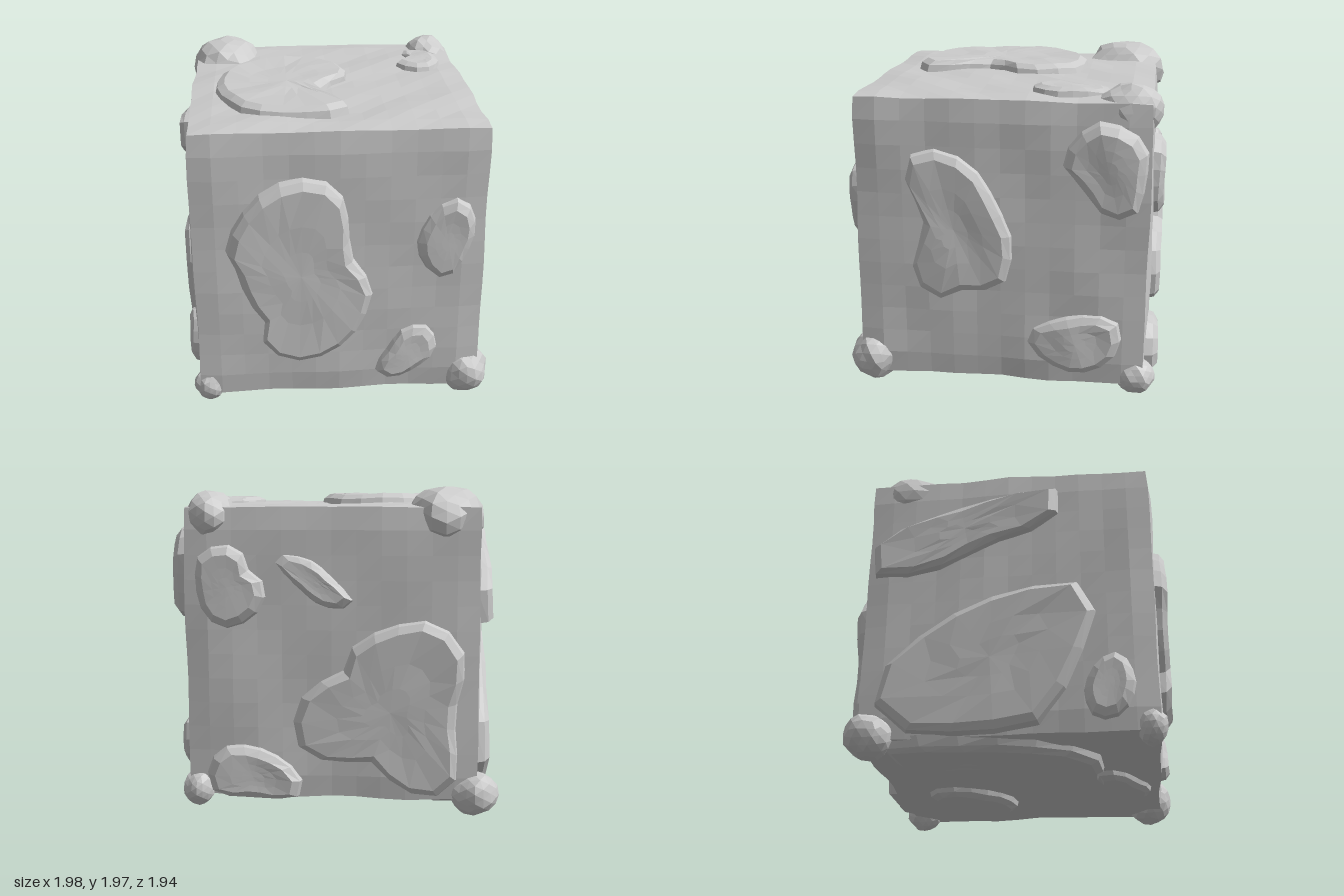
import * as THREE from 'three';
import { mergeVertices } from 'three/addons/utils/BufferGeometryUtils.js';

const stone = new THREE.MeshStandardMaterial({ color: 0xcccccc, flatShading: true });

// Smooth position-based unevenness, so shared edges stay closed
const bump = (x, y, z) =>
  Math.sin(7.1 * x + 3.3 * y + 1.7) * Math.sin(5.3 * y - 6.1 * z + 0.6) * 0.6 +
  Math.sin(13 * z + 9 * x - 4 * y) * 0.4;

// Each side of the cube: u axis, v axis, outward normal, distance along the normal
const V = (x, y, z) => new THREE.Vector3(x, y, z);
const sides = {
  front: [V(1, 0, 0), V(0, 1, 0), V(0, 0, 1), 0.885],
  back: [V(-1, 0, 0), V(0, 1, 0), V(0, 0, -1), 0.895],
  right: [V(0, 0, -1), V(0, 1, 0), V(1, 0, 0), 0.91],
  left: [V(0, 0, 1), V(0, 1, 0), V(-1, 0, 0), 0.87],
  top: [V(1, 0, 0), V(0, 0, -1), V(0, 1, 0), 1.88],
  bottom: [V(1, 0, 0), V(0, 0, 1), V(0, -1, 0), -0.1],
};

// Cube with softly chamfered edges and an uneven surface
function makeBody() {
  const half = 0.89, r = 0.045;
  let g = new THREE.BoxGeometry(2 * half, 2 * half, 2 * half, 12, 12, 12);
  g.deleteAttribute('uv');
  g.deleteAttribute('normal');
  g = mergeVertices(g);
  const p = g.attributes.position, v = V(0, 0, 0), inner = V(0, 0, 0), lim = half - r;
  for (let i = 0; i < p.count; i++) {
    v.fromBufferAttribute(p, i);
    inner.copy(v).clampScalar(-lim, lim);
    const n = v.clone().sub(inner).normalize();
    v.copy(inner).addScaledVector(n, r + 0.012 * bump(v.x, v.y, v.z));
    p.setXYZ(i, v.x + 0.02, v.y + 0.99, v.z - 0.005);
  }
  g.computeVertexNormals();
  return g;
}

// Raised plate: rings from the outline up a sloped lip to an uneven top.
// tilt = [u, v] lifts the plate on that side and sinks it on the other.
function makePlate(side, outline, height = 0.075, tilt = [0, 0]) {
  const pts = [];
  for (let i = 0; i < outline.length; i += 2) pts.push(V(outline[i], outline[i + 1], 0));
  if (THREE.ShapeUtils.isClockWise(pts)) pts.reverse();
  const n = Math.max(14, Math.round(pts.length * 1.6));
  const ring = new THREE.CatmullRomCurve3(pts, true).getSpacedPoints(n).slice(0, n);
  const c = ring.reduce((s, q) => s.add(q), V(0, 0, 0)).divideScalar(n);
  const radius = Math.max(...ring.map((q) => q.distanceTo(c)));
  const [U, W, N, d] = sides[side];
  const pos = [], index = [];
  const add = (q, h) => {
    const w = V(0, 0, 0).addScaledVector(U, q.x).addScaledVector(W, q.y).addScaledVector(N, d);
    w.addScaledVector(N, h + (h > 0 ? 0.009 * bump(w.x * 1.6, w.y * 1.6, w.z * 1.6) : 0));
    pos.push(w.x, w.y, w.z);
  };
  const lift = (q) =>
    height * (1 + (tilt[0] * (q.x - c.x) + tilt[1] * (q.y - c.y)) / radius);
  const levels = [[0, 0, -0.03], [0.02, 0, 0.55], [0.065, 0, 1], [0.065, 0.4, 0.96], [0.065, 0.7, 0.95]];
  levels.forEach(([inset, k, f]) => ring.forEach((q) => {
    const t = Math.min(0.45, inset / q.distanceTo(c));
    const s = q.clone().lerp(c, t).lerp(c, k);
    add(s, f < 0 ? f : lift(s) * f);
  }));
  add(c, height * 0.95);
  for (let l = 0; l < levels.length; l++) {
    for (let i = 0; i < n; i++) {
      const j = (i + 1) % n, a = l * n + i, b = l * n + j;
      if (l === levels.length - 1) index.push(a, b, levels.length * n);
      else index.push(a, b, b + n, a, b + n, a + n);
    }
  }
  const g = new THREE.BufferGeometry();
  g.setAttribute('position', new THREE.Float32BufferAttribute(pos, 3));
  g.setIndex(index);
  g.computeVertexNormals();
  return g;
}

// Rough boulder swelling out of a corner
function makeLump(rx, ry, rz, seed) {
  const g = new THREE.IcosahedronGeometry(1, 2);
  const p = g.attributes.position;
  for (let i = 0; i < p.count; i++) {
    const x = p.getX(i), y = p.getY(i), z = p.getZ(i);
    const k = 1 + 0.1 * bump(x * 0.5 + seed, y * 0.5, z * 0.5);
    p.setXYZ(i, x * k * rx, y * k * ry, z * k * rz);
  }
  g.computeVertexNormals();
  return g;
}

export function createModel() {
  const group = new THREE.Group();
  const add = (name, geometry) => {
    const m = new THREE.Mesh(geometry, stone);
    m.name = name;
    group.add(m);
    return m;
  };
  const plate = (name, ...args) => add(name, makePlate(...args));

  add('stoneBlock', makeBody());

  // Front plates
  plate('frontLargePlate', 'front', [-0.2, 1.6, -0.42, 1.53, -0.6, 1.33, -0.67, 1.12, -0.59, 0.95, -0.57, 0.8,
    -0.45, 0.65, -0.45, 0.45, -0.25, 0.35, 0, 0.42, 0.15, 0.58, 0.23, 0.85, 0.1, 1.08, 0.07, 1.35, 0, 1.54]);
  plate('frontMiddlePlate', 'front', [0.47, 1.15, 0.58, 1.38, 0.75, 1.44, 0.84, 1.27, 0.8, 1.08, 0.66, 0.9,
    0.54, 0.97], 0.06, [0.5, -0.2]);
  plate('frontSmallPlate', 'front', [0.42, 0.56, 0.58, 0.57, 0.64, 0.4, 0.5, 0.25, 0.33, 0.19, 0.24, 0.25,
    0.31, 0.4], 0.055, [0.4, -0.4]);

  // Right plates
  plate('rightLargePlate', 'right', [-0.42, 1.58, -0.17, 1.5, 0, 1.25, 0.09, 1, 0.01, 0.71, -0.2, 0.69,
    -0.38, 0.62, -0.54, 0.76, -0.47, 1.15, -0.57, 1.38, -0.53, 1.54], 0.06, [0.2, 0]);
  plate('rightUpperPlate', 'right', [0.58, 1.77, 0.36, 1.53, 0.48, 1.36, 0.63, 1.19, 0.8, 1.2, 0.86, 1.4,
    0.85, 1.65], 0.075);
  plate('rightLowerPlate', 'right', [0.15, 0.42, 0.32, 0.53, 0.55, 0.58, 0.72, 0.54, 0.74, 0.36, 0.62, 0.22,
    0.42, 0.18, 0.22, 0.28], 0.06, [0.3, -0.3]);

  // Back plates
  plate('backLargePlate', 'back', [-0.25, 0.64, -0.14, 0.81, 0.03, 0.88, 0.08, 1.03, 0.29, 1.16, 0.6, 1.2,
    0.78, 1, 0.73, 0.65, 0.72, 0.2, 0.56, 0.12, 0.36, 0.2, 0.2, 0.34, -0.03, 0.33, -0.23, 0.43], 0.07);
  plate('backUpperPlate', 'back', [-0.81, 1.6, -0.57, 1.64, -0.5, 1.5, -0.4, 1.4, -0.47, 1.22, -0.67, 1.14,
    -0.81, 1.26], 0.065);
  plate('backSlimPlate', 'back', [-0.37, 1.58, -0.15, 1.57, 0.03, 1.42, 0.12, 1.29, -0.06, 1.27, -0.25, 1.41],
    0.05, [0.2, -0.3]);
  plate('backLowerPlate', 'back', [-0.78, 0.3, -0.67, 0.43, -0.42, 0.42, -0.2, 0.25, -0.2, 0.13, -0.56, 0.1,
    -0.76, 0.15], 0.065);

  // Left plates
  plate('leftLargePlate', 'left', [-0.82, 0.4, -0.54, 0.76, -0.12, 1, 0.34, 1.07, 0.53, 1.02, 0.47, 0.67,
    0.18, 0.16, -0.2, 0.12, -0.6, 0.14], 0.065);
  plate('leftUpperPlate', 'left', [-0.86, 1.38, -0.54, 1.57, -0.05, 1.71, 0.36, 1.72, 0.28, 1.53, -0.12, 1.36,
    -0.4, 1.22, -0.84, 1.18], 0.065);
  plate('leftSmallPlate', 'left', [0.52, 0.55, 0.66, 0.6, 0.75, 0.4, 0.66, 0.2, 0.5, 0.18, 0.43, 0.36], 0.055);

  // Top plates
  plate('topLargePlate', 'top', [-0.2, 0.44, 0.02, 0.37, 0.15, 0.12, 0.12, -0.02, -0.03, -0.17, 0.01, -0.4,
    0.1, -0.6, 0, -0.68, -0.2, -0.68, -0.5, -0.62, -0.65, -0.4, -0.72, -0.15, -0.68, 0.1, -0.58, 0.27,
    -0.4, 0.4], 0.06);
  plate('topSmallPlate', 'top', [0.55, 0.6, 0.72, 0.64, 0.79, 0.45, 0.79, 0.28, 0.65, 0.14, 0.48, 0.28,
    0.57, 0.45], 0.04, [0, -0.3]);

  // Bottom plates
  plate('bottomMiddlePlate', 'bottom', [0.52, -0.12, 0.36, -0.08, 0.1, -0.25, 0.02, -0.58, 0.18, -0.66,
    0.45, -0.4], 0.055);
  plate('bottomLongPlate', 'bottom', [-0.82, -0.75, -0.6, -0.72, -0.35, -0.2, -0.15, 0.35, -0.3, 0.55,
    -0.6, 0.45, -0.82, 0], 0.06);
  plate('bottomSmallPlate', 'bottom', [0.2, 0.82, 0.32, 0.76, 0.1, 0.55, -0.18, 0.46, -0.22, 0.58, 0, 0.76], 0.05);

  // Corner lumps: centre, radii
  [
    ['topBackLeftLump', [-0.65, 1.81, -0.67], [0.24, 0.18, 0.27]],
    ['topBackRightLump', [0.76, 1.81, -0.75], [0.15, 0.15, 0.19]],
    ['bottomFrontRightLump', [0.83, 0.19, 0.81], [0.15, 0.16, 0.15]],
    ['bottomBackLeftLump', [-0.84, 0.14, -0.82], [0.145, 0.135, 0.14]],
    ['bottomFrontLeftLump', [-0.8, 0.15, 0.82], [0.1, 0.11, 0.09]],
    ['bottomBackRightLump', [0.84, 0.15, -0.83], [0.1, 0.11, 0.12]],
  ].forEach(([name, at, r], i) => add(name, makeLump(...r, i)).position.set(...at));

  return group;
}
